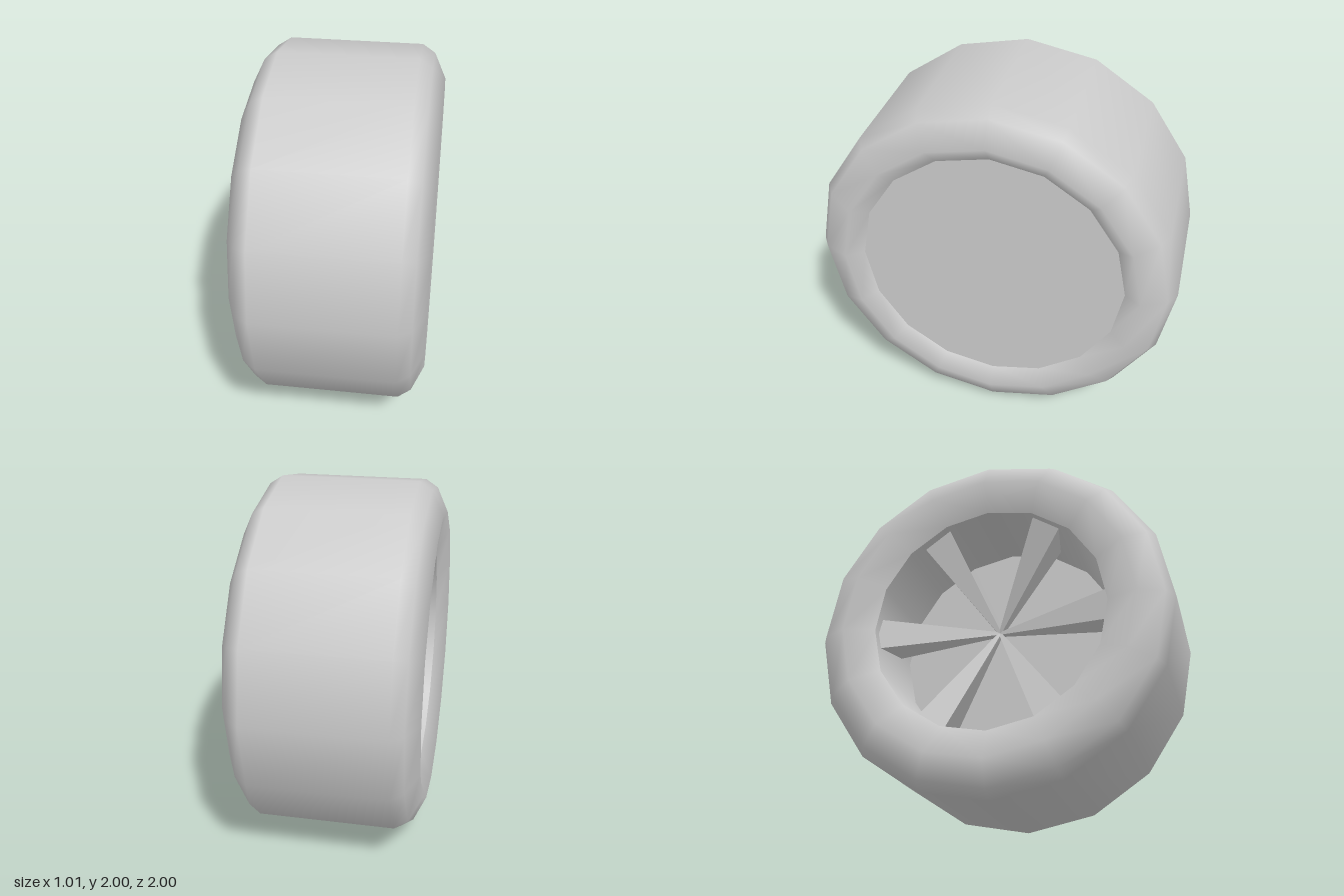
import * as THREE from 'three';

const SIDES = 16;
const SPOKES = 6;
const material = new THREE.MeshStandardMaterial({ color: 0xcccccc });

// Ring turned about the x axis from [radius, x] points
function turned(name, points) {
  const geometry = new THREE.LatheGeometry(points.map(([r, x]) => new THREE.Vector2(r, x)), SIDES);
  geometry.rotateZ(-Math.PI / 2);
  const mesh = new THREE.Mesh(geometry, material);
  mesh.name = name;
  return mesh;
}

// Wedge along +z: almost a point at the hub, at the rim a wide front (-x) and a narrow back
function spokeGeometry() {
  const geometry = new THREE.BoxGeometry(1, 1, 1);
  const p = geometry.attributes.position;
  for (let i = 0; i < p.count; i++) {
    const back = p.getX(i) > 0;
    const side = Math.sign(p.getY(i));
    if (p.getZ(i) > 0) p.setXYZ(i, back ? 0.117 : -0.203, side * (back ? 0.015 : 0.09), 0.655);
    else p.setXYZ(i, back ? 0.015 : -0.015, side * 0.008, 0);
  }
  geometry.computeVertexNormals();
  return geometry;
}

export function createModel() {
  const group = new THREE.Group();
  const wheel = new THREE.Group();
  wheel.name = 'wheel';
  wheel.position.y = 1;
  group.add(wheel);

  // Tyre with rounded shoulders and sidewalls that dip towards the rim
  wheel.add(turned('tyre', [
    [0.655, -0.438], [0.82, -0.505], [0.955, -0.44], [1, -0.37],
    [1, 0.37], [0.955, 0.44], [0.82, 0.505], [0.73, 0.44],
  ]));

  // Closed side, set in behind the sidewall
  wheel.add(turned('backPlate', [[0.73, 0.44], [0, 0.44]]));

  // Open side: barrel and its floor
  wheel.add(turned('rimBarrel', [[0.655, 0.06], [0.655, -0.438]]));
  wheel.add(turned('rimFloor', [[0, 0.06], [0.655, 0.06]]));

  // Spokes meeting at the hub
  const spokes = new THREE.Group();
  spokes.name = 'spokes';
  spokes.position.x = -0.187;
  const geometry = spokeGeometry();
  for (let i = 0; i < SPOKES; i++) {
    const spoke = new THREE.Mesh(geometry, material);
    spoke.name = 'spoke';
    spoke.rotation.x = (i / SPOKES) * Math.PI * 2;
    spokes.add(spoke);
  }
  wheel.add(spokes);

  return group;
}
